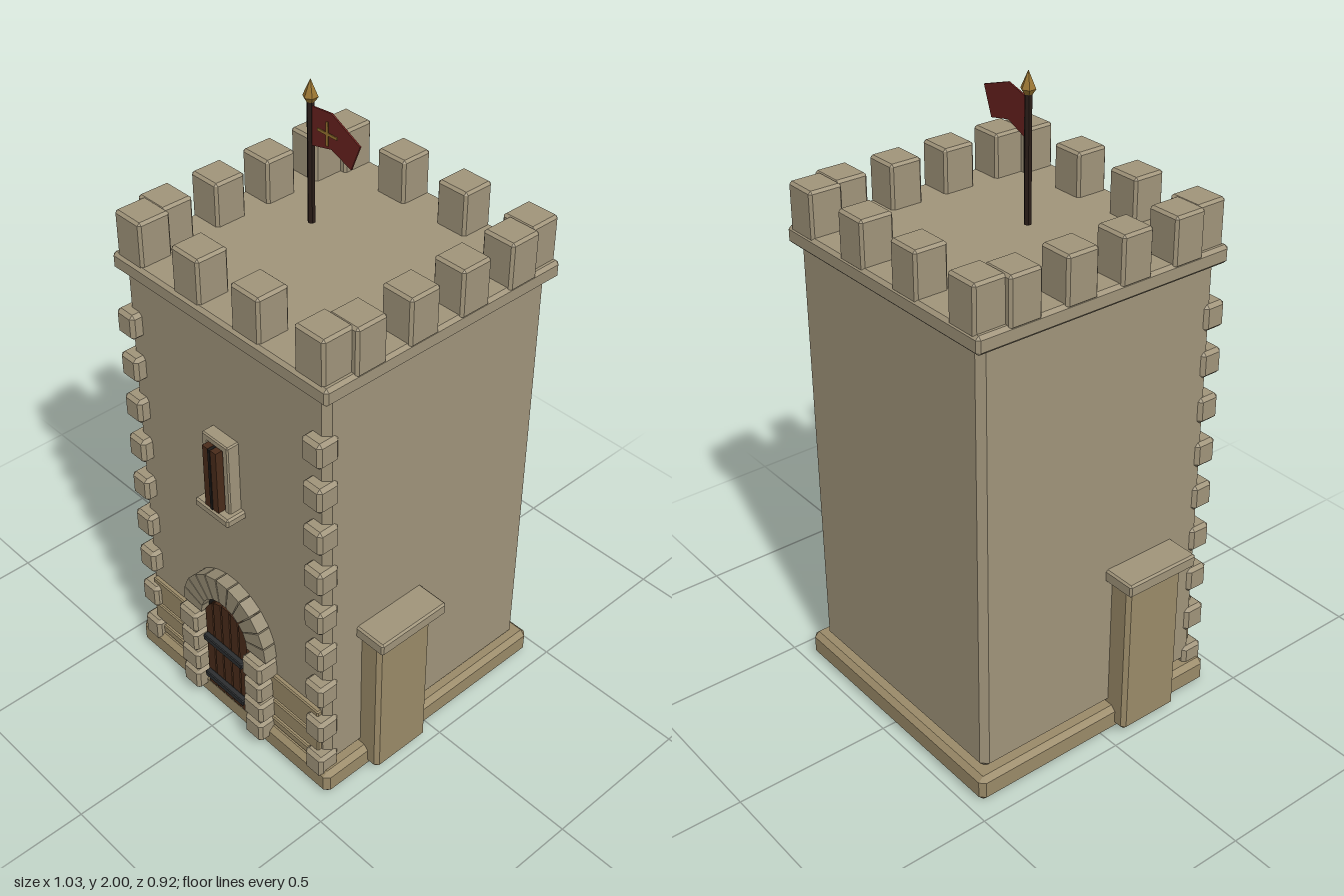
import * as THREE from 'three';
import { ConvexGeometry } from 'three/addons/geometries/ConvexGeometry.js';

const mat = (color, side = THREE.FrontSide) =>
  new THREE.MeshStandardMaterial({ color, flatShading: true, side });
const STONE = mat(0xa0947a), TRIM = mat(0x9a8a68), ARCH = mat(0x968c74);
const WOOD = mat(0x4a2c1a), DARK = mat(0x1c1a18), IRON = mat(0x2c2e30);
const GOLD = mat(0x9a7530), POLE = mat(0x2a1d18);
const CLOTH = mat(0x6e2420, THREE.DoubleSide);
const ZC = -0.02; // centre of the tower's square plan

// Box with chamfered edges and corners
function chamferBox(w, h, d, c) {
  const pts = [], half = [w / 2, h / 2, d / 2];
  for (const sx of [-1, 1]) for (const sy of [-1, 1]) for (const sz of [-1, 1]) {
    const s = [sx, sy, sz];
    for (let full = 0; full < 3; full++) {
      pts.push(new THREE.Vector3(...s.map((v, i) => v * (half[i] - (i === full ? 0 : c)))));
    }
  }
  return new ConvexGeometry(pts);
}

function add(parent, name, geometry, material, x = 0, y = 0, z = 0) {
  const mesh = new THREE.Mesh(geometry, material);
  mesh.name = name;
  mesh.position.set(x, y, z);
  parent.add(mesh);
  return mesh;
}

function group(parent, name) {
  const g = new THREE.Group();
  g.name = name;
  parent.add(g);
  return g;
}

function extrude(shape, depth) {
  return new THREE.ExtrudeGeometry(shape, { depth, bevelEnabled: false, curveSegments: 12 });
}

function buildBattlements(root) {
  const g = group(root, 'battlements');
  const merlon = chamferBox(0.11, 0.15, 0.106, 0.008);
  for (const x of [-0.36, -0.119, 0.119, 0.36]) {
    for (const z of [-0.397, 0.352]) add(g, 'merlon', merlon, STONE, x, 1.567, z);
  }
  for (const z of [-0.3, -0.115, 0.072, 0.258]) {
    for (const x of [-0.38, 0.38]) add(g, 'sideMerlon', merlon, STONE, x, 1.567, z);
  }
}

function buildDoor(root) {
  const g = group(root, 'doorway');
  const cy = 0.375, rIn = 0.105, rOut = 0.19;

  // Dark opening
  const opening = new THREE.Shape();
  opening.moveTo(-rIn, 0.075);
  opening.lineTo(rIn, 0.075);
  opening.lineTo(rIn, cy);
  opening.absarc(0, cy, rIn, 0, Math.PI, false);
  add(g, 'doorOpening', extrude(opening, 0.025), DARK, 0, 0, 0.38);

  // Planks with tops following the arch
  for (let i = -2; i <= 2; i++) {
    const x = i * 0.039, a = x - 0.0165, b = x + 0.0165;
    const top = (v) => cy + Math.sqrt(Math.max(0, 0.102 ** 2 - v * v)) - 0.02;
    const s = new THREE.Shape();
    s.moveTo(a, 0.075);
    s.lineTo(b, 0.075);
    s.lineTo(b, top(b));
    s.lineTo(x, top(x));
    s.lineTo(a, top(a));
    add(g, 'doorPlank', extrude(s, 0.025), WOOD, 0, 0, 0.4);
  }
  for (const y of [0.13, 0.29]) {
    add(g, 'ironBand', chamferBox(0.178, 0.022, 0.02, 0.003), IRON, 0, y, 0.435);
  }

  // Wedge stones of the arch
  const n = 11, step = Math.PI / n, gap = 0.012;
  for (let i = 0; i < n; i++) {
    const a = i * step + gap, b = (i + 1) * step - gap;
    const s = new THREE.Shape();
    s.moveTo(Math.cos(a) * rIn, Math.sin(a) * rIn);
    s.lineTo(Math.cos(a) * rOut, Math.sin(a) * rOut);
    s.lineTo(Math.cos(b) * rOut, Math.sin(b) * rOut);
    s.lineTo(Math.cos(b) * rIn, Math.sin(b) * rIn);
    add(g, 'archStone', extrude(s, 0.055), ARCH, 0, cy, 0.378);
  }

  // Stacked jamb stones
  for (const side of [-1, 1]) {
    for (let i = 0; i < 4; i++) {
      const w = i % 2 ? 0.084 : 0.076;
      add(g, 'jambStone', chamferBox(w, 0.076, 0.085, 0.01), STONE, side * 0.148, 0.08 + i * 0.0835, 0.416);
    }
  }
}

function buildWindow(root) {
  const g = group(root, 'window');
  add(g, 'windowOpening', new THREE.BoxGeometry(0.066, 0.22, 0.04), DARK, 0, 0.978, 0.395);
  for (const side of [-1, 1]) {
    add(g, 'windowJamb', chamferBox(0.024, 0.24, 0.05, 0.004), STONE, side * 0.043, 0.985, 0.405);
    add(g, 'windowShutter', new THREE.BoxGeometry(0.023, 0.215, 0.03), WOOD, side * 0.017, 0.977, 0.435);
  }
  add(g, 'windowBar', new THREE.BoxGeometry(0.009, 0.215, 0.03), DARK, 0, 0.977, 0.437);
  add(g, 'windowLintel', chamferBox(0.11, 0.024, 0.05, 0.004), STONE, 0, 1.096, 0.405);
  add(g, 'windowSill', chamferBox(0.144, 0.03, 0.08, 0.006), STONE, 0, 0.856, 0.415);
}

function buildFlag(root) {
  const g = group(root, 'flag');
  g.position.set(-0.095, 0, ZC);
  add(g, 'flagpole', new THREE.CylinderGeometry(0.011, 0.011, 0.38, 6), POLE, 0, 1.76, 0);
  add(g, 'finialTip', new THREE.ConeGeometry(0.022, 0.05, 6), GOLD, 0, 1.975, 0);
  add(g, 'finialBase', new THREE.CylinderGeometry(0.022, 0.012, 0.015, 6), GOLD, 0, 1.9425, 0);

  // Waving cloth, drifting forward towards its free end
  const banner = new THREE.Shape([
    [0.008, 1.81], [0.095, 1.836], [0.18, 1.815], [0.217, 1.898], [0.095, 1.94], [0.008, 1.925],
  ].map(([x, y]) => new THREE.Vector2(x, y)));
  const cloth = extrude(banner, 0.005);
  const p = cloth.attributes.position;
  for (let i = 0; i < p.count; i++) p.setZ(i, p.getZ(i) - 0.002 + p.getX(i) * 0.12);
  cloth.computeVertexNormals();
  add(g, 'banner', cloth, CLOTH);
  add(g, 'crossbar', new THREE.BoxGeometry(0.074, 0.008, 0.003), GOLD, 0.085, 1.88, 0.02);
  add(g, 'crossUpright', new THREE.BoxGeometry(0.008, 0.07, 0.003), GOLD, 0.085, 1.88, 0.02);
}

export function createModel() {
  const root = new THREE.Group();
  root.name = 'castleTower';

  // Main masses
  add(root, 'plinth', chamferBox(0.886, 0.085, 0.886, 0.016), TRIM, 0, 0.0425, ZC);
  add(root, 'towerBody', chamferBox(0.82, 1.4, 0.82, 0.02), STONE, 0, 0.78, ZC);
  add(root, 'parapetSlab', chamferBox(0.866, 0.055, 0.866, 0.01), STONE, 0, 1.478, ZC);
  buildBattlements(root);

  // Corner stones on the front edges
  const quoins = group(root, 'cornerStones');
  const quoin = chamferBox(0.074, 0.083, 0.074, 0.011);
  for (const side of [-1, 1]) {
    for (let i = 0; i < 9; i++) add(quoins, 'cornerStone', quoin, STONE, side * 0.384, 0.097 + i * 0.149, 0.389);
  }

  // Projecting courses either side of the door
  const courses = group(root, 'stoneCourses');
  for (const side of [-1, 1]) {
    for (const [y, h] of [[0.103, 0.03], [0.165, 0.065], [0.257, 0.095]]) {
      add(courses, 'stoneCourse', chamferBox(0.24, h, 0.03, 0.004), TRIM, side * 0.265, y, 0.39);
    }
  }

  // Side buttresses
  for (const side of [-1, 1]) {
    const b = group(root, side > 0 ? 'leftButtress' : 'rightButtress');
    add(b, 'pier', chamferBox(0.1, 0.54, 0.21, 0.012), TRIM, side * 0.432, 0.287, 0.15);
    add(b, 'cap', chamferBox(0.13, 0.042, 0.256, 0.006), STONE, side * 0.45, 0.565, 0.148);
  }

  buildDoor(root);
  buildWindow(root);
  buildFlag(root);
  return root;
}
